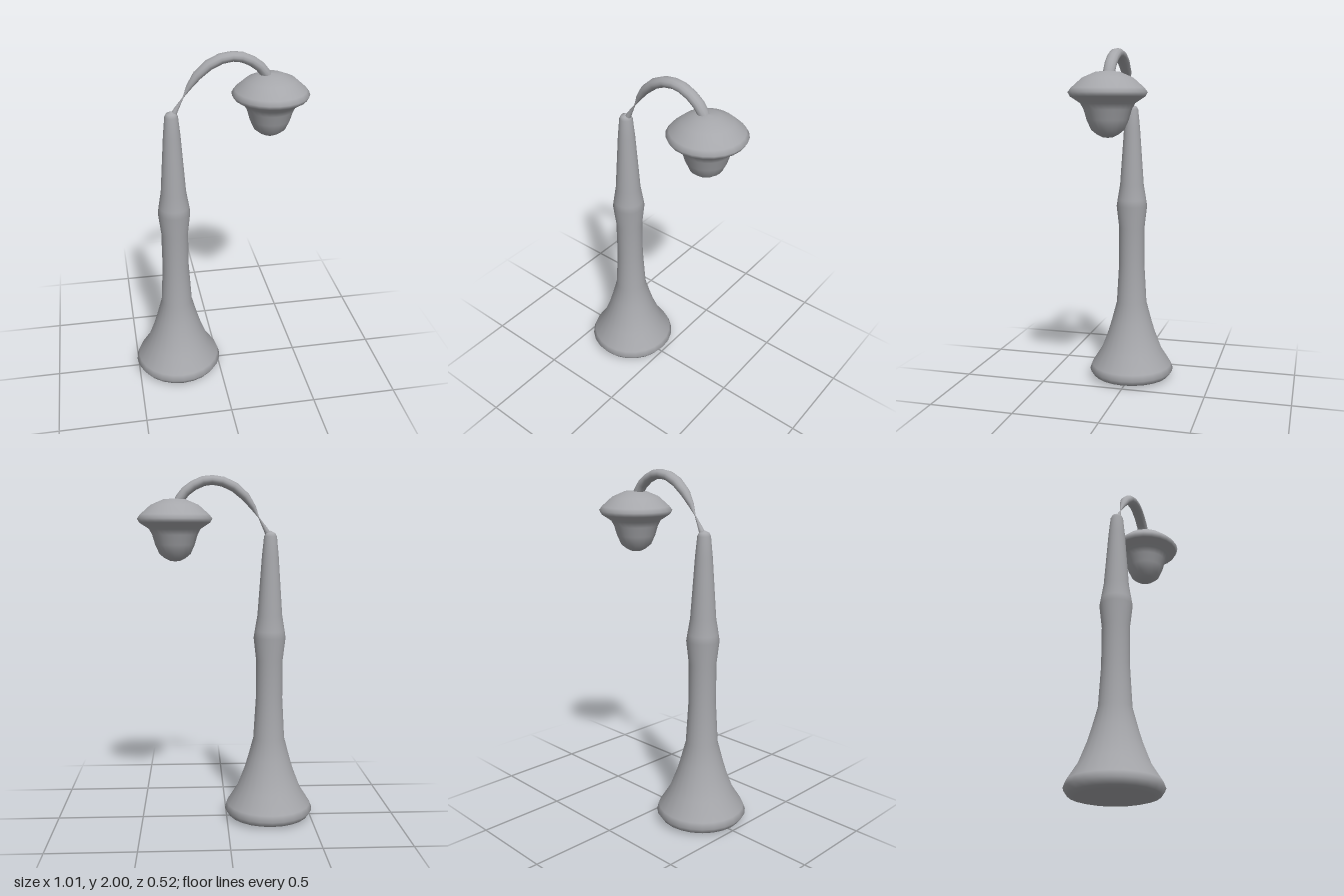
import * as THREE from 'three';

const SIDES = 24;

// Solid of revolution from [radius, height] pairs, bottom to top
function turned(name, profile, x, material) {
  const points = profile.map(([r, y]) => new THREE.Vector2(r, y));
  const mesh = new THREE.Mesh(new THREE.LatheGeometry(points, SIDES), material);
  mesh.name = name;
  mesh.position.x = x;
  return mesh;
}

// Tube swept in the xy plane; each ring is [x, y, in-plane radius, z radius]
function sweptArm(name, rings, sides, material) {
  const positions = [], index = [];
  rings.forEach(([x, y, rn, rz], i) => {
    const a = rings[Math.max(i - 1, 0)], b = rings[Math.min(i + 1, rings.length - 1)];
    const t = new THREE.Vector2(b[0] - a[0], b[1] - a[1]).normalize();
    for (let j = 0; j < sides; j++) {
      const angle = (j / sides) * Math.PI * 2;
      const n = Math.cos(angle) * rn;
      positions.push(x - t.y * n, y + t.x * n, Math.sin(angle) * rz);
      if (i === rings.length - 1) continue;
      const p = i * sides + j, q = i * sides + (j + 1) % sides;
      index.push(p, q, p + sides, q, q + sides, p + sides);
    }
  });
  const geometry = new THREE.BufferGeometry();
  geometry.setAttribute('position', new THREE.Float32BufferAttribute(positions, 3));
  geometry.setIndex(index);
  geometry.computeVertexNormals();
  const mesh = new THREE.Mesh(geometry, material);
  mesh.name = name;
  return mesh;
}

export function createModel() {
  const grey = new THREE.MeshStandardMaterial({ color: 0xa6a7ab, side: THREE.DoubleSide });
  grey.name = 'grey';
  const model = new THREE.Group();
  model.name = 'streetLamp';

  // Post with flared foot and a collar
  model.add(turned('post', [
    [0, 0], [0.2, 0.008], [0.238, 0.018], [0.26, 0.05], [0.247, 0.085],
    [0.187, 0.18], [0.145, 0.29], [0.124, 0.36], [0.092, 0.48], [0.078, 0.72],
    [0.078, 0.95], [0.093, 1.08], [0.087, 1.12], [0.072, 1.21], [0.048, 1.55],
    [0.037, 1.66], [0.028, 1.678], [0, 1.693],
  ], -0.25, grey));

  // Curved arm, pinched just above the post
  model.add(sweptArm('arm', [
    [-0.235, 1.675, 0.016, 0.016], [-0.222, 1.7, 0.013, 0.014],
    [-0.183, 1.765, 0.003, 0.003], [-0.152, 1.82, 0.016, 0.017],
    [-0.108, 1.88, 0.025, 0.03], [-0.045, 1.934, 0.028, 0.035],
    [0.02, 1.964, 0.028, 0.035], [0.08, 1.973, 0.027, 0.035],
    [0.13, 1.967, 0.028, 0.035], [0.185, 1.943, 0.028, 0.034],
    [0.23, 1.91, 0.028, 0.034], [0.262, 1.87, 0.028, 0.033], [0.275, 1.83, 0.027, 0.03],
  ], 12, grey));

  // Lamp head: hood and bulb in one turned form
  model.add(turned('lampHead', [
    [0, 1.52], [0.03, 1.524], [0.058, 1.538], [0.088, 1.562], [0.112, 1.615],
    [0.128, 1.67], [0.145, 1.702], [0.2, 1.738], [0.212, 1.76], [0.195, 1.783],
    [0.135, 1.836], [0.065, 1.866], [0, 1.872],
  ], 0.292, grey));

  return model;
}
